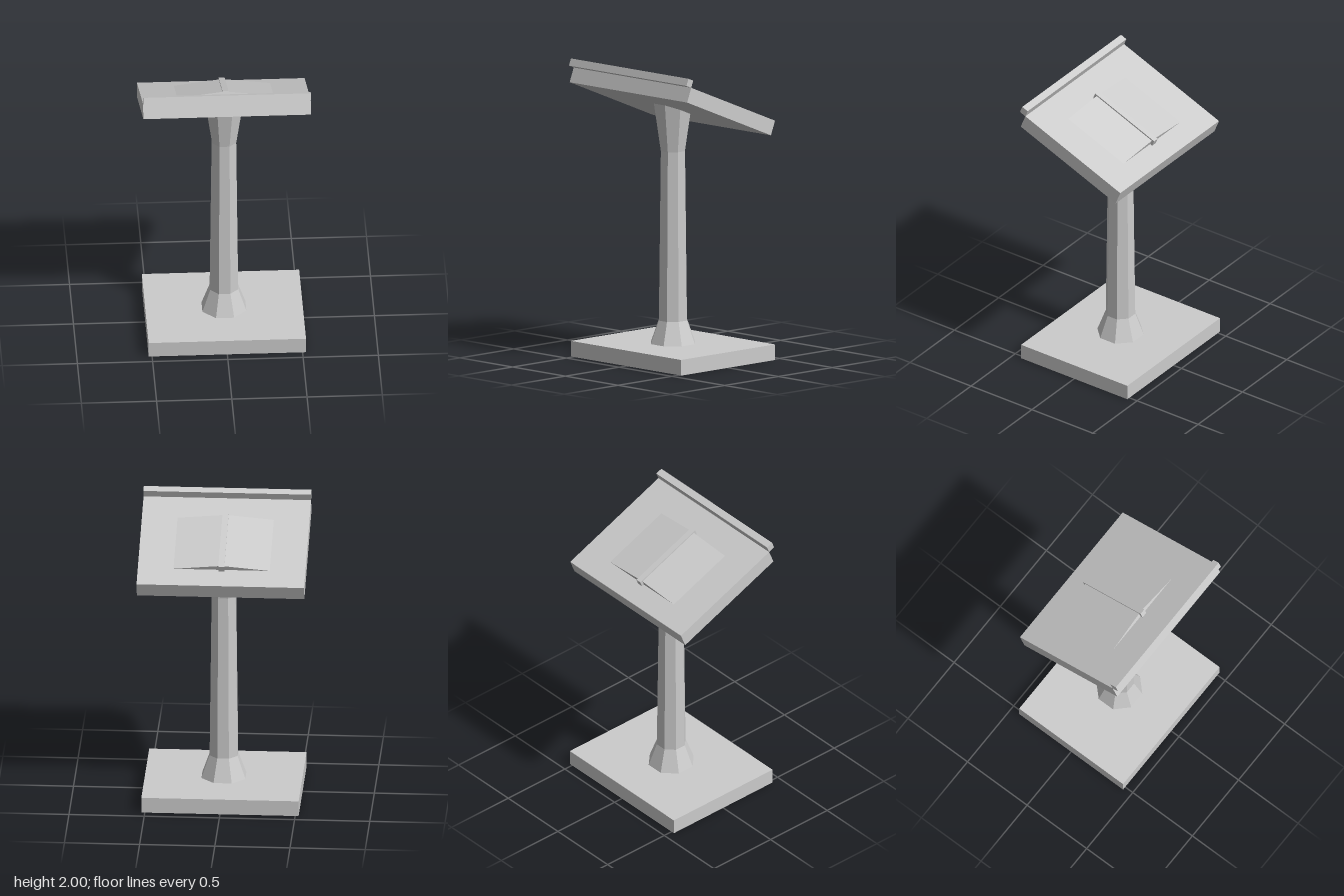
import * as THREE from 'three';

const material = new THREE.MeshStandardMaterial({ color: 0xcccccc, flatShading: true });
const openMaterial = new THREE.MeshStandardMaterial({ color: 0xcccccc, flatShading: true, side: THREE.DoubleSide });

function add(parent, name, geometry, mat = material) {
  const mesh = new THREE.Mesh(geometry, mat);
  mesh.name = name;
  parent.add(mesh);
  return mesh;
}

function addBox(parent, name, [w, h, d], [x, y, z]) {
  const mesh = add(parent, name, new THREE.BoxGeometry(w, h, d));
  mesh.position.set(x, y, z);
  return mesh;
}

// Thin-walled plinth, open underneath: a box without its bottom face
function plinthGeometry(w, h, d) {
  const box = new THREE.BoxGeometry(w, h, d);
  const index = Array.from(box.index.array);
  index.splice(18, 6);
  box.setIndex(index);
  box.clearGroups();
  return box.translate(0, h / 2, 0);
}

// One half of the open book: a wedge that thins out away from the spine
function pageGeometry(side, width, height, length) {
  const shape = new THREE.Shape();
  shape.moveTo(0, 0);
  shape.lineTo(side * width, 0);
  shape.lineTo(0, height);
  shape.closePath();
  return new THREE.ExtrudeGeometry(shape, { depth: length, bevelEnabled: false }).translate(0, 0, -length / 2);
}

export function createModel() {
  const model = new THREE.Group();
  model.name = 'lectern';

  add(model, 'base', plinthGeometry(1.046, 0.105, 0.872), openMaterial);

  // Eight-sided column, flared at both ends; profile gives distance to the flats
  const profile = [[0.146, 0.105], [0.093, 0.26], [0.08, 1.4], [0.126, 1.725]]
    .map(([r, y]) => new THREE.Vector2(r / Math.cos(Math.PI / 8), y));
  add(model, 'column', new THREE.LatheGeometry(profile, 8, Math.PI / 8), openMaterial);

  // Sloping top, with everything on it in the same tilted frame
  const top = new THREE.Group();
  top.name = 'slopingTop';
  top.position.set(0, 1.73, 0.0055);
  top.rotation.x = THREE.MathUtils.degToRad(-22);
  model.add(top);
  addBox(top, 'desk', [1.114, 0.102, 0.84], [0, 0, 0]);
  addBox(top, 'ledge', [1.114, 0.05, 0.048], [0, 0.076, 0.444]);

  // Open book lying on the desk
  const book = new THREE.Group();
  book.name = 'openBook';
  book.position.set(0, 0.051, -0.02);
  top.add(book);
  for (const side of [1, -1]) {
    add(book, side > 0 ? 'leftPages' : 'rightPages', pageGeometry(side, 0.32, 0.036, 0.488));
  }
  addBox(book, 'spine', [0.04, 0.043, 0.522], [0, 0.0215, 0]);

  return model;
}
